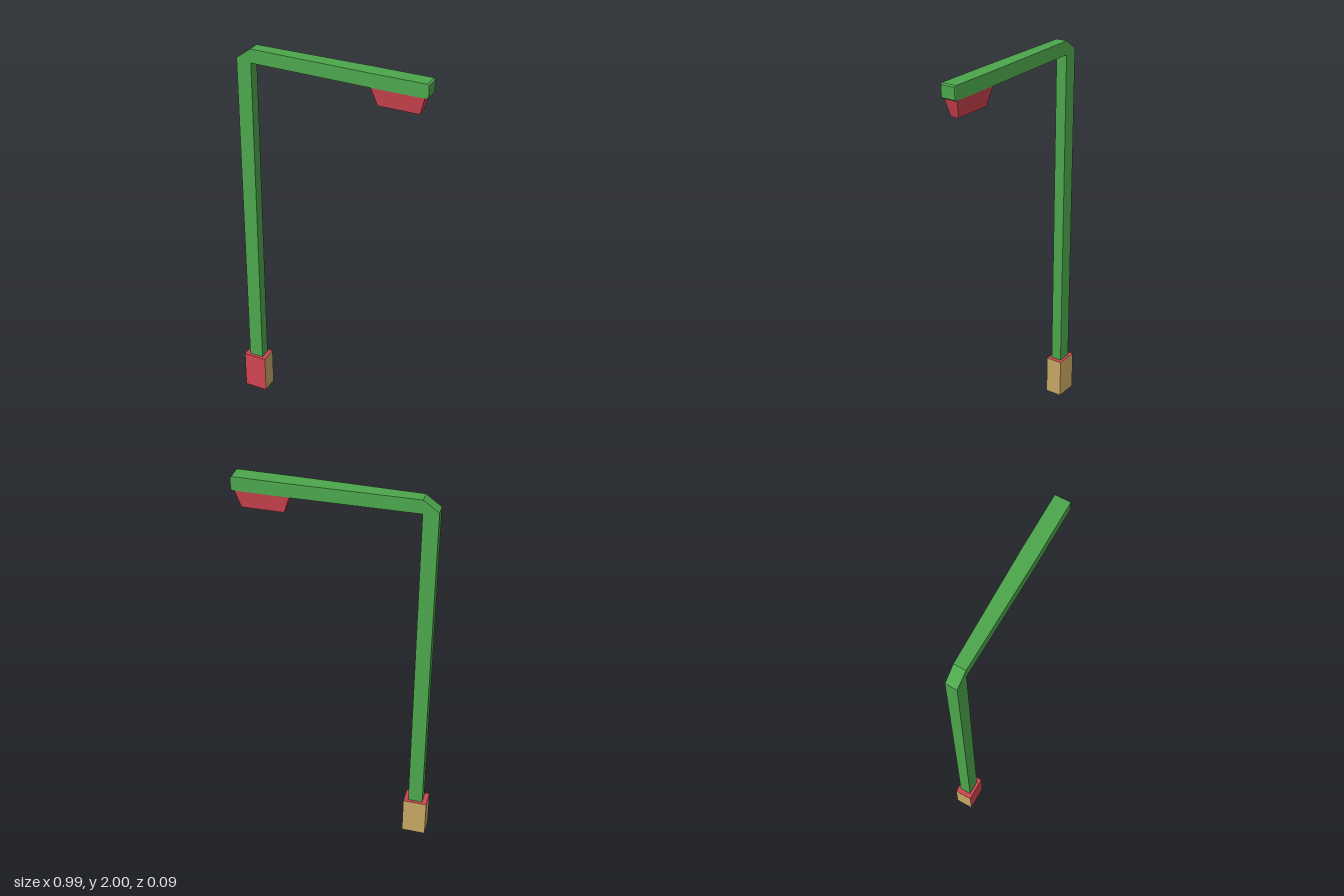
import * as THREE from 'three';

// Lofts rectangular sections [outerX, outerY, innerX, innerY, halfDepth], capped and flat shaded
function loft(sections) {
  const rings = sections.map(([ox, oy, ix, iy, d]) => [
    [ox, oy, d], [ox, oy, -d], [ix, iy, -d], [ix, iy, d],
  ]);
  const pos = [];
  const quad = (a, b, c, d) => pos.push(...a, ...b, ...c, ...a, ...c, ...d);
  for (let s = 0; s < rings.length - 1; s++) {
    const p = rings[s], q = rings[s + 1];
    for (let i = 0; i < 4; i++) {
      const j = (i + 1) % 4;
      quad(p[i], q[i], q[j], p[j]);
    }
  }
  const first = rings[0], last = rings[rings.length - 1];
  quad(first[0], first[1], first[2], first[3]);
  quad(last[0], last[3], last[2], last[1]);
  const geo = new THREE.BufferGeometry();
  geo.setAttribute('position', new THREE.Float32BufferAttribute(pos, 3));
  geo.computeVertexNormals();
  return geo;
}

function material(name, color) {
  const m = new THREE.MeshStandardMaterial({ color, side: THREE.DoubleSide });
  m.name = name;
  return m;
}

export function createModel() {
  const group = new THREE.Group();
  const green = material('green', 0x4ca64c);
  const red = material('red', 0xd04450);
  const tan = material('tan', 0xc6a664);

  const add = (name, geo, mat) => {
    const mesh = new THREE.Mesh(geo, mat);
    mesh.name = name;
    group.add(mesh);
    return mesh;
  };

  // Pole, chamfered elbow and widening arm in one sweep
  add('poleAndArm', loft([
    [-0.47, 0.2, -0.395, 0.2, 0.029],
    [-0.47, 1.945, -0.395, 1.93, 0.029],
    [-0.395, 2, -0.395, 1.93, 0.03],
    [0.2, 2, 0.2, 1.93, 0.039],
    [0.485, 2, 0.485, 1.93, 0.039],
    [0.492, 1.993, 0.492, 1.935, 0.037],
  ]), green);

  // Tapered lamp housing below the arm
  add('lamp', loft([
    [0.245, 1.84, 0.45, 1.84, 0.021],
    [0.215, 1.93, 0.475, 1.93, 0.037],
  ]), red);

  // Base sleeve, open underneath, with red front and top
  const baseGeo = new THREE.BoxGeometry(0.123, 0.21, 0.089);
  baseGeo.groups = baseGeo.groups.filter((g) => g.materialIndex !== 3);
  add('base', baseGeo, [tan, tan, red, tan, red, tan]).position.set(-0.4335, 0.105, 0);

  return group;
}
